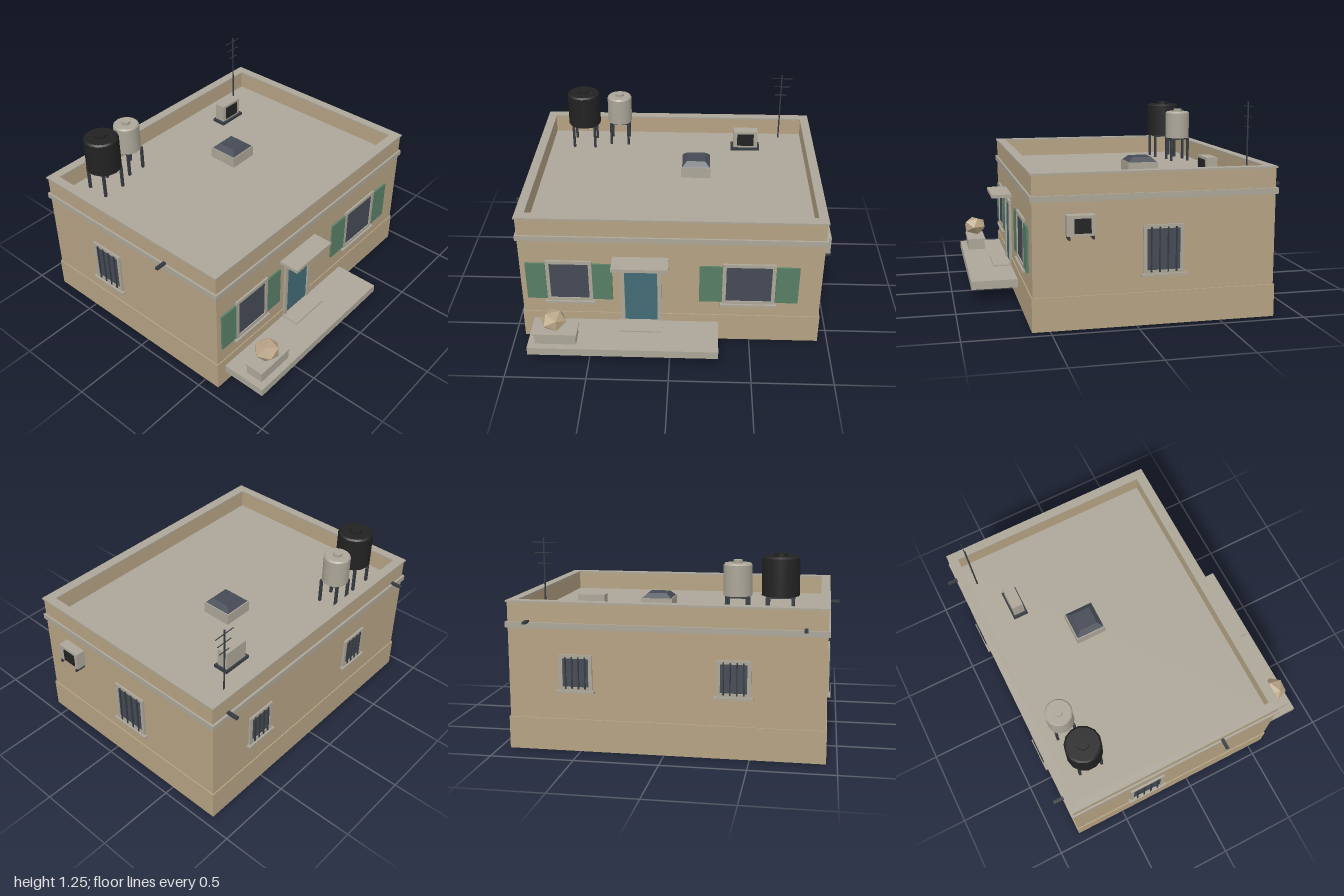
import * as THREE from 'three';

const mat = (name, color, side = THREE.FrontSide) => {
  const m = new THREE.MeshStandardMaterial({ color, side });
  m.name = name;
  return m;
};

export function createModel() {
  const plaster = mat('sand plaster', 0xb5a283, THREE.DoubleSide);
  const stone = mat('pale concrete', 0xaca698, THREE.DoubleSide);
  const green = mat('shutter green', 0x577f66);
  const teal = mat('door teal', 0x436b74);
  const glass = mat('dark glass', 0x454a55);
  const black = mat('black plastic', 0x222222);
  const metal = mat('dark metal', 0x363b42);
  const dry = mat('dry shrub', 0xb8a486);
  dry.flatShading = true;

  const model = new THREE.Group();
  model.name = 'house';
  const add = (name, geo, m, parent = model) => {
    const mesh = new THREE.Mesh(geo, m);
    mesh.name = name;
    parent.add(mesh);
    return mesh;
  };
  // box given by its limits on each axis
  const box = (name, m, x0, x1, y0, y1, z0, z1, parent) => {
    const b = add(name, new THREE.BoxGeometry(x1 - x0, y1 - y0, z1 - z0), m, parent);
    b.position.set((x0 + x1) / 2, (y0 + y1) / 2, (z0 + z1) / 2);
    return b;
  };
  const group = (name, x = 0, y = 0, z = 0, turn = 0) => {
    const g = new THREE.Group();
    g.name = name;
    g.position.set(x, y, z);
    g.rotation.y = turn;
    model.add(g);
    return g;
  };
  // rectangular ring lying flat, extruded upward
  const rect = (C, x, z0, z1) => {
    const s = new C();
    s.moveTo(-x, -z1); s.lineTo(x, -z1); s.lineTo(x, -z0); s.lineTo(-x, -z0);
    s.closePath();
    return s;
  };
  const ring = (name, m, x, z0, z1, ix, iz0, iz1, y0, y1) => {
    const s = rect(THREE.Shape, x, z0, z1);
    s.holes.push(rect(THREE.Path, ix, iz0, iz1));
    const geo = new THREE.ExtrudeGeometry(s, { depth: y1 - y0, bevelEnabled: false });
    geo.rotateX(-Math.PI / 2);
    add(name, geo, m).position.y = y0;
  };
  // four upright sheets, open above and below
  const shell = (name, m, x, z0, z1, y0, y1) => {
    const g = group(name);
    const sheet = (w, px, pz, turn) => {
      const p = add(name + 'Side', new THREE.PlaneGeometry(w, y1 - y0), m, g);
      p.position.set(px, (y0 + y1) / 2, pz);
      p.rotation.y = turn;
    };
    const zc = (z0 + z1) / 2;
    sheet(2 * x, 0, z1, 0);
    sheet(2 * x, 0, z0, Math.PI);
    sheet(z1 - z0, x, zc, Math.PI / 2);
    sheet(z1 - z0, -x, zc, -Math.PI / 2);
  };

  // Walls, parapet and roof
  shell('walls', plaster, 0.93, -0.828, 0.597, 0.195, 0.77);
  shell('plinth', plaster, 0.937, -0.835, 0.603, 0, 0.195);
  shell('plinthLining', stone, 0.93, -0.828, 0.596, 0, 0.195);
  ring('plinthLedge', plaster, 0.937, -0.835, 0.603, 0.928, -0.826, 0.595, 0.19, 0.195);
  ring('parapet', plaster, 0.93, -0.828, 0.597, 0.885, -0.78, 0.545, 0.77, 0.886);
  ring('parapetCap', stone, 0.938, -0.836, 0.604, 0.88, -0.775, 0.54, 0.885, 0.896);
  ring('corniceBand', stone, 0.942, -0.842, 0.609, 0.925, -0.822, 0.59, 0.735, 0.77);
  box('roofDeck', stone, -0.92, 0.92, 0.755, 0.77, -0.82, 0.59);

  // Window: local origin at the wall surface, facing local +z
  const window = (name, x, z, turn, w, y0, y1, bars) => {
    const g = group(name, x, 0, z, turn);
    const h = w / 2, t = 0.022;
    box('frameLeft', stone, h - t, h, y0, y1, 0, 0.013, g);
    box('frameRight', stone, -h, -h + t, y0, y1, 0, 0.013, g);
    box('frameTop', stone, -h + t, h - t, y1 - t, y1, 0, 0.013, g);
    box('frameBottom', stone, -h + t, h - t, y0, y0 + t, 0, 0.013, g);
    box('pane', glass, -h + t, h - t, y0 + t, y1 - t, 0, 0.006, g);
    box('sill', stone, -h - 0.013, h + 0.013, y0 - 0.013, y0 + 0.002, 0, 0.025, g);
    for (let i = 0; i < bars; i++) {
      const bx = -h + t + ((w - 2 * t) * (i + 0.5)) / bars;
      box('windowBar', metal, bx - 0.004, bx + 0.004, y0 + 0.012, y1 - 0.012, 0.012, 0.02, g);
    }
  };
  window('frontWindow', -0.627, 0.597, 0, 0.285, 0.29, 0.59, 0);
  window('frontWindow', 0.483, 0.597, 0, 0.325, 0.29, 0.59, 0);
  window('sideWindow', 0.93, -0.155, Math.PI / 2, 0.24, 0.3, 0.585, 4);
  window('sideWindow', -0.93, -0.32, -Math.PI / 2, 0.24, 0.3, 0.585, 4);
  for (const x of [-0.405, 0.523]) window('backWindow', x, -0.828, Math.PI, 0.2, 0.37, 0.585, 4);

  // Shutters
  for (const [a, b] of [[-0.895, -0.771], [-0.483, -0.36], [0.177, 0.319], [0.648, 0.79]])
    box('shutter', green, a, b, 0.305, 0.57, 0.597, 0.609);

  // Door, canopy and doorstep
  box('door', teal, -0.286, -0.082, 0.14, 0.552, 0.597, 0.604);
  box('doorFrameRight', stone, -0.31, -0.286, 0.14, 0.575, 0.597, 0.613);
  box('doorFrameLeft', stone, -0.082, -0.058, 0.14, 0.575, 0.597, 0.613);
  box('doorFrameTop', stone, -0.286, -0.082, 0.552, 0.575, 0.597, 0.613);
  box('canopy', stone, -0.355, -0.01, 0.603, 0.625, 0.597, 0.728);
  box('doorstep', stone, -0.32, -0.05, 0.138, 0.148, 0.6, 0.72);

  // Terrace with planter and shrub
  box('terrace', stone, -0.87, 0.3, 0.087, 0.139, 0.6, 0.892);
  box('planter', stone, -0.825, -0.572, 0.138, 0.208, 0.735, 0.85);
  box('planterRim', stone, -0.832, -0.565, 0.205, 0.216, 0.73, 0.855);
  const shrub = add('shrub', new THREE.IcosahedronGeometry(0.083, 0), dry);
  shrub.scale.y = 0.8;
  shrub.rotation.y = 0.4;
  shrub.position.set(-0.71, 0.285, 0.793);

  // Wall air conditioner on brackets
  box('wallUnit', stone, 0.93, 0.992, 0.55, 0.665, 0.25, 0.412);
  box('wallUnitGrille', black, 0.992, 0.997, 0.565, 0.648, 0.275, 0.37);
  for (const z of [0.262, 0.4]) box('wallUnitBracket', metal, 0.93, 1, 0.53, 0.55, z - 0.005, z + 0.005);

  // Rain spouts
  box('sideSpout', metal, -1, -0.925, 0.768, 0.783, 0.19, 0.21);
  for (const x of [-0.808, 0.808]) box('backSpout', metal, x - 0.01, x + 0.01, 0.768, 0.783, -0.9, -0.82);

  // Water tanks on legs
  const tank = (name, m, x, z, r, top, leg) => {
    const g = group(name, x, 0, z);
    const cyl = (part, rad, y0, y1) => {
      const geo = new THREE.CylinderGeometry(rad, rad, y1 - y0, 14);
      add(part, geo, m, g).position.y = (y0 + y1) / 2;
    };
    cyl('tankBody', r, 0.932, top - 0.008);
    const shoulder = new THREE.CylinderGeometry(r * 0.9, r, 0.01, 14);
    add('tankShoulder', shoulder, m, g).position.y = top - 0.003;
    cyl('tankLid', r * 0.34, top, top + 0.02);
    box('tankStand', metal, -leg, leg, 0.92, 0.932, -leg, leg, g);
    for (const sx of [-leg, leg]) for (const sz of [-leg, leg])
      box('tankLeg', metal, sx - 0.008, sx + 0.008, 0.77, 0.932, sz - 0.008, sz + 0.008, g);
  };
  tank('blackTank', black, -0.65, -0.607, 0.111, 1.157, 0.073);
  tank('paleTank', stone, -0.405, -0.647, 0.084, 1.117, 0.06);

  // Aerial
  const aerial = group('aerial', 0.727, 0, -0.727);
  add('mast', new THREE.CylinderGeometry(0.005, 0.005, 0.485, 8), metal, aerial).position.y = 1.0125;
  for (const [y, h] of [[1.228, 0.072], [1.167, 0.056], [1.105, 0.04]])
    box('aerialRod', metal, -h, h, y - 0.002, y + 0.002, -0.002, 0.002, aerial);

  // Roof air conditioner
  box('roofUnitBase', metal, 0.382, 0.582, 0.77, 0.788, -0.615, -0.517);
  box('roofUnit', stone, 0.4, 0.566, 0.788, 0.906, -0.603, -0.53);
  box('roofUnitGrille', black, 0.425, 0.54, 0.803, 0.89, -0.53, -0.525);

  // Skylight
  box('skylightCurb', stone, 0.042, 0.24, 0.77, 0.845, -0.32, -0.122);
  const dome = new THREE.CylinderGeometry(0.06 * Math.SQRT2, 0.092 * Math.SQRT2, 0.03, 4, 1).toNonIndexed();
  dome.rotateY(Math.PI / 4);
  dome.computeVertexNormals();
  add('skylightGlass', dome, glass).position.set(0.141, 0.86, -0.221);

  return model;
}
